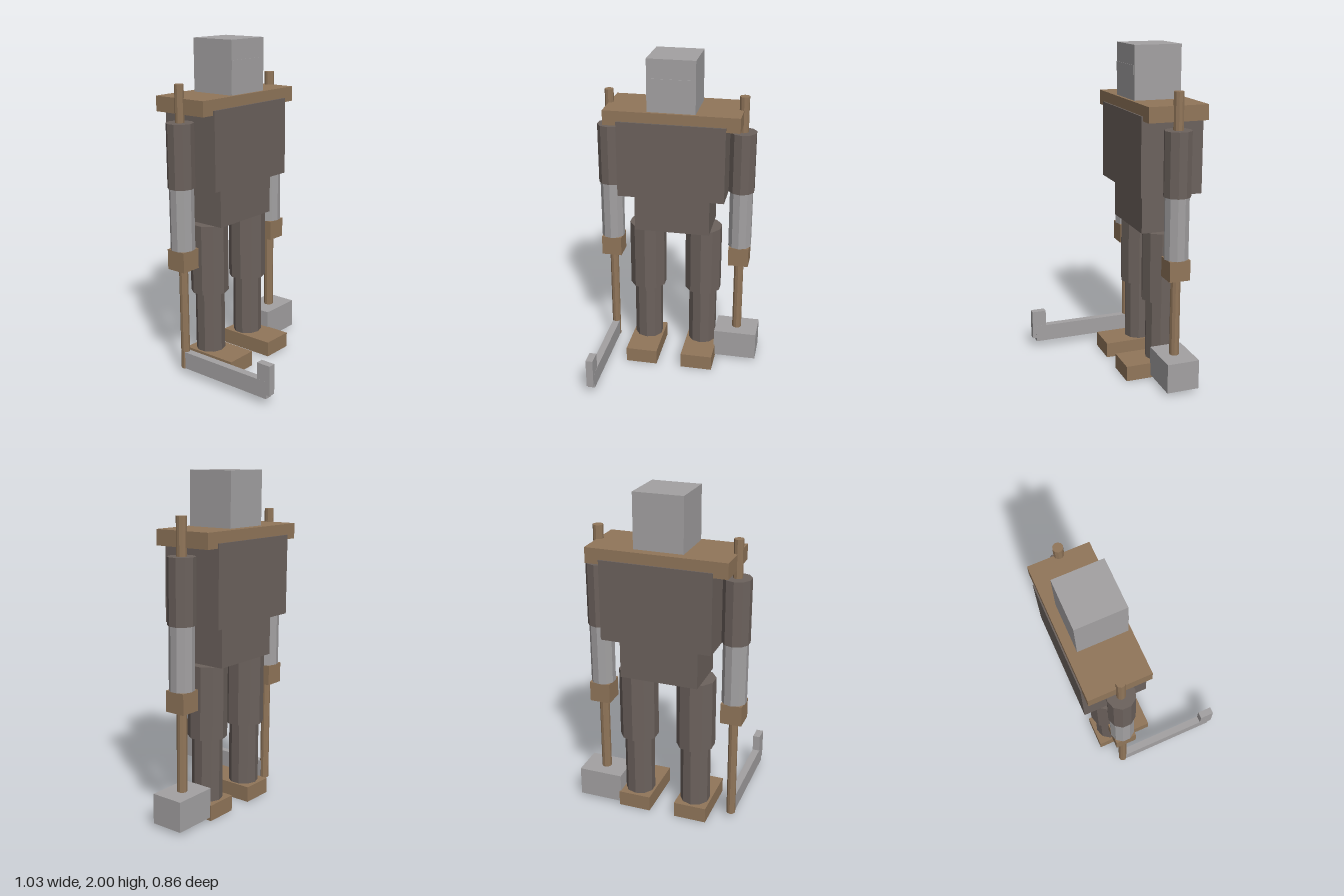
import * as THREE from 'three';

const material = (name, color) => {
  const m = new THREE.MeshStandardMaterial({ color, flatShading: true });
  m.name = name;
  return m;
};

export function createModel() {
  const model = new THREE.Group();
  model.name = 'guardFigure';
  const wood = material('wood brown', 0x91765a);
  const cloth = material('dark brown', 0x6c625d);
  const steel = material('steel grey', 0xa3a1a2);
  const axisZ = -0.236;

  const add = (name, geometry, mat, x, y, z) => {
    const mesh = new THREE.Mesh(geometry, mat);
    mesh.name = name;
    mesh.position.set(x, y, z);
    model.add(mesh);
  };
  // Box given by its limits on each axis
  const box = (name, mat, [x0, x1], [y0, y1], [z0, z1]) =>
    add(name, new THREE.BoxGeometry(x1 - x0, y1 - y0, z1 - z0), mat,
      (x0 + x1) / 2, (y0 + y1) / 2, (z0 + z1) / 2);
  // Upright ten-sided column
  const column = (name, mat, x, radius, y0, y1) =>
    add(name, new THREE.CylinderGeometry(radius, radius, y1 - y0, 10), mat,
      x, (y0 + y1) / 2, axisZ);

  // Head with a faint visor plate
  box('head', steel, [-0.175, 0.115], [1.685, 2], [-0.365, -0.075]);
  box('visor', steel, [-0.174, 0.095], [1.83, 1.885], [-0.077, -0.072]);

  // Body
  box('shoulderBoard', wood, [-0.44, 0.38], [1.595, 1.685], [-0.42, -0.057]);
  box('torso', cloth, [-0.357, 0.297], [1.152, 1.622], [-0.428, -0.047]);
  box('hips', cloth, [-0.263, 0.203], [0.912, 1.144], [-0.38, -0.092]);

  // Legs
  for (const [side, x] of [['right', -0.21], ['left', 0.15]]) {
    column(side + 'Thigh', cloth, x, 0.116, 0.478, 0.912);
    column(side + 'Shin', cloth, x, 0.09, 0.095, 0.478);
    box(side + 'Foot', wood, [x - 0.1, x + 0.1], [0, 0.095], [-0.345, 0.016]);
  }

  // Arms, each holding a long shaft
  for (const [side, x, shaftRadius, shaftBottom] of
    [['right', -0.44, 0.027, 0.04], ['left', 0.379, 0.03, 0.1]]) {
    column(side + 'UpperArm', cloth, x, 0.081, 1.17, 1.548);
    column(side + 'Forearm', steel, x, 0.073, 0.8, 1.17);
    box(side + 'Hand', wood, [x - 0.063, x + 0.063], [0.677, 0.8],
      [axisZ - 0.064, axisZ + 0.064]);
    column(side + 'Shaft', wood, x, shaftRadius, shaftBottom, 1.765);
  }

  // Hooked blade on the right shaft, hammer head on the left one
  box('blade', steel, [-0.461, -0.416], [0.042, 0.148], [-0.236, 0.402]);
  box('bladeTip', steel, [-0.4605, -0.4165], [0.067, 0.25], [0.337, 0.427]);
  box('hammerHead', steel, [0.243, 0.515], [0.02, 0.2], [-0.337, -0.138]);

  return model;
}
